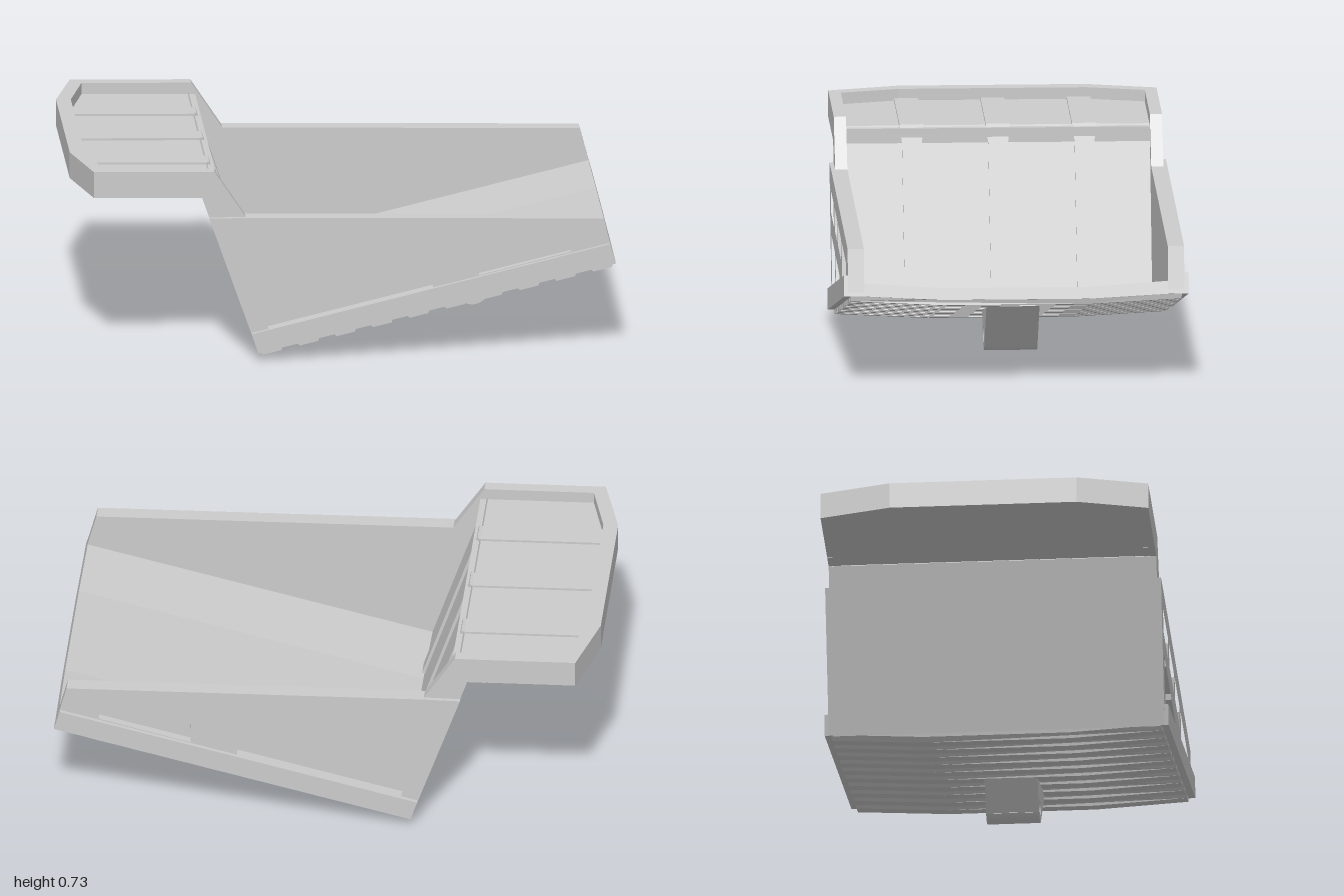
import * as THREE from 'three';

const material = new THREE.MeshStandardMaterial({ color: 0xcccccc, flatShading: true });

const outline = (pts) => new THREE.Shape(pts.map(([x, y]) => new THREE.Vector2(x, y)));

const extrude = (shape, depth) =>
  new THREE.ExtrudeGeometry(shape, { depth, bevelEnabled: false, curveSegments: 10 });

// Moves every vertex by a rule and refreshes the normals
function warp(geometry, rule) {
  const p = geometry.attributes.position;
  for (let i = 0; i < p.count; i++) p.setXYZ(i, ...rule(p.getX(i), p.getY(i), p.getZ(i)));
  geometry.computeVertexNormals();
  return geometry;
}

// Side-view outline given a thickness from z0 to z1
const sidePlate = (shape, z0, z1) => extrude(shape, z1 - z0).translate(0, 0, z0);

// Cross-section of [z, height] points swept up the inclined floor from t0 to t1
const onSlope = (t, h, z) => [t - 0.3 * h, 0.095 + 0.24 * t + h, z];
const sweep = (section, t0, t1, ease = (t) => t) =>
  warp(extrude(outline(section.map(([z, h]) => [-z, h])), t1 - t0), (a, h, t) =>
    onSlope(ease(t + t0, h, -a), h, -a));

// Plan outline given a height; the canopy drops slightly towards the body
const planPlate = (pts, y0, y1) =>
  warp(extrude(outline(pts.map(([x, z]) => [x, -z])), y1 - y0), (x, y, h) =>
    [x, y0 + h - 0.02 * (x + 1), -y]);

export function createModel() {
  const model = new THREE.Group();
  const add = (name, geometry, parent = model) => {
    const mesh = new THREE.Mesh(geometry, material);
    mesh.name = name;
    parent.add(mesh);
    return mesh;
  };

  // Shallow trough floor
  add('floor', sweep([
    [-0.62, 0.018], [-0.27, 0], [0.27, 0], [0.62, 0.018],
    [0.62, 0.065], [0.27, 0.042], [-0.27, 0.042], [-0.62, 0.065],
  ], -0.32, 1));

  // Tapered cross ribs under the floor
  const ribs = new THREE.Group();
  ribs.name = 'floorRibs';
  model.add(ribs);
  const base = (z) => 0.018 * Math.max(0, (Math.abs(z) - 0.27) / 0.35);
  const ribSection = [
    [-0.61, -0.001], [-0.27, -0.018], [0.27, -0.018], [0.61, -0.001],
    [0.61, 0.025], [0.27, 0.005], [-0.27, 0.005], [-0.61, 0.025],
  ];
  for (let i = 0; i < 10; i++) {
    const c = -0.272 + i * 0.1355;
    add('floorRib', sweep(ribSection, c - 0.048, c + 0.048, (t, h, z) =>
      h < base(z) ? c + (t - c) * 0.72 : t), ribs);
  }

  // Sloping front wall
  add('frontWall', sidePlate(outline([
    [-0.53, 0.625], [-0.495, 0.688], [-0.283, 0.06], [-0.324, 0.03],
  ]), -0.605, 0.605));

  // Side walls with recessed pockets, bottom rails and canopy cheeks
  const wall = [
    [-0.505, 0.55], [-0.37, 0.55], [0.95, 0.52], [0.995, 0.35], [0.97, 0.35], [-0.325, 0.035],
  ];
  const pockets = [
    [[-0.4, 0.47], [-0.17, 0.464], [-0.15, 0.38], [-0.378, 0.388]],
    [[-0.11, 0.464], [0.125, 0.457], [0.14, 0.377], [-0.088, 0.382]],
    [[0.17, 0.457], [0.41, 0.45], [0.425, 0.37], [0.192, 0.377]],
    [[0.46, 0.452], [0.83, 0.44], [0.83, 0.395], [0.49, 0.312], [0.495, 0.37]],
    [[-0.35, 0.31], [0.32, 0.288], [0.32, 0.265], [-0.285, 0.12]],
  ];
  const frame = outline(wall);
  pockets.forEach((p) => frame.holes.push(new THREE.Path(outline(p).getPoints())));
  const cheek = outline([
    [-0.6, 0.727], [-0.485, 0.725], [-0.37, 0.55], [-0.36, 0.5],
    [-0.487, 0.5], [-0.53, 0.626], [-0.6, 0.627],
  ]);
  for (const s of [1, -1]) {
    const side = new THREE.Group();
    side.name = s > 0 ? 'leftSide' : 'rightSide';
    model.add(side);
    const plate = (name, shape, a, b) =>
      add(name, sidePlate(shape, Math.min(s * a, s * b), Math.max(s * a, s * b)), side);
    plate('sidePanel', outline(wall), 0.56, 0.585);
    plate('sideFrame', frame, 0.58, 0.62);
    plate('canopyCheek', cheek, 0.56, 0.605);
    add('bottomRail', sweep([
      [s * 0.56, 0.015], [s * 0.635, 0.015], [s * 0.635, 0.09], [s * 0.56, 0.09],
    ], -0.32, 1), side);
  }

  // Canopy deck and its raised lip
  add('canopyDeck', planPlate([
    [-0.99, -0.345], [-0.925, -0.6], [-0.47, -0.6],
    [-0.47, 0.6], [-0.925, 0.6], [-0.99, 0.345],
  ], 0.637, 0.692));
  add('canopyLip', planPlate([
    [-0.55, -0.605], [-0.93, -0.605], [-1, -0.345], [-1, 0.345], [-0.93, 0.605], [-0.55, 0.605],
    [-0.55, 0.56], [-0.89, 0.56], [-0.945, 0.345], [-0.945, -0.345], [-0.89, -0.56], [-0.55, -0.56],
  ], 0.636, 0.735));

  // Stiffeners running along the canopy and down the inside of the front wall
  const strap = outline([
    [-0.045, 0], [-0.036, -0.075], [-0.034, -0.64], [0.034, -0.64], [0.036, -0.075], [0.045, 0],
  ]);
  const wallBasis = new THREE.Matrix4().makeBasis(
    new THREE.Vector3(0, 0, -1),
    new THREE.Vector3(-0.32, 0.9474, 0),
    new THREE.Vector3(0.9474, 0.32, 0),
  ).setPosition(-0.497, 0.69, 0);
  for (const z of [-0.318, 0, 0.318]) {
    add('canopyStiffener', planPlate([
      [-0.95, z - 0.044], [-0.485, z - 0.044], [-0.485, z + 0.044], [-0.95, z + 0.044],
    ], 0.68, 0.7));
    add('wallStiffener', extrude(strap, 0.012).applyMatrix4(wallBasis).translate(0, 0, z));
  }

  // Hoist bracket with a pin hole
  const bracket = outline([[0.36, 0.19], [0.462, 0.065]]);
  bracket.absarc(0.505, 0.107, 0.061, Math.PI * 1.25, Math.PI * 1.75, false);
  bracket.lineTo(0.72, 0.25);
  bracket.lineTo(0.72, 0.28);
  bracket.holes.push(new THREE.Path().absarc(0.505, 0.105, 0.03, 0, Math.PI * 2, true));
  add('hoistBracket', sidePlate(bracket, -0.098, 0.098));

  return model;
}
